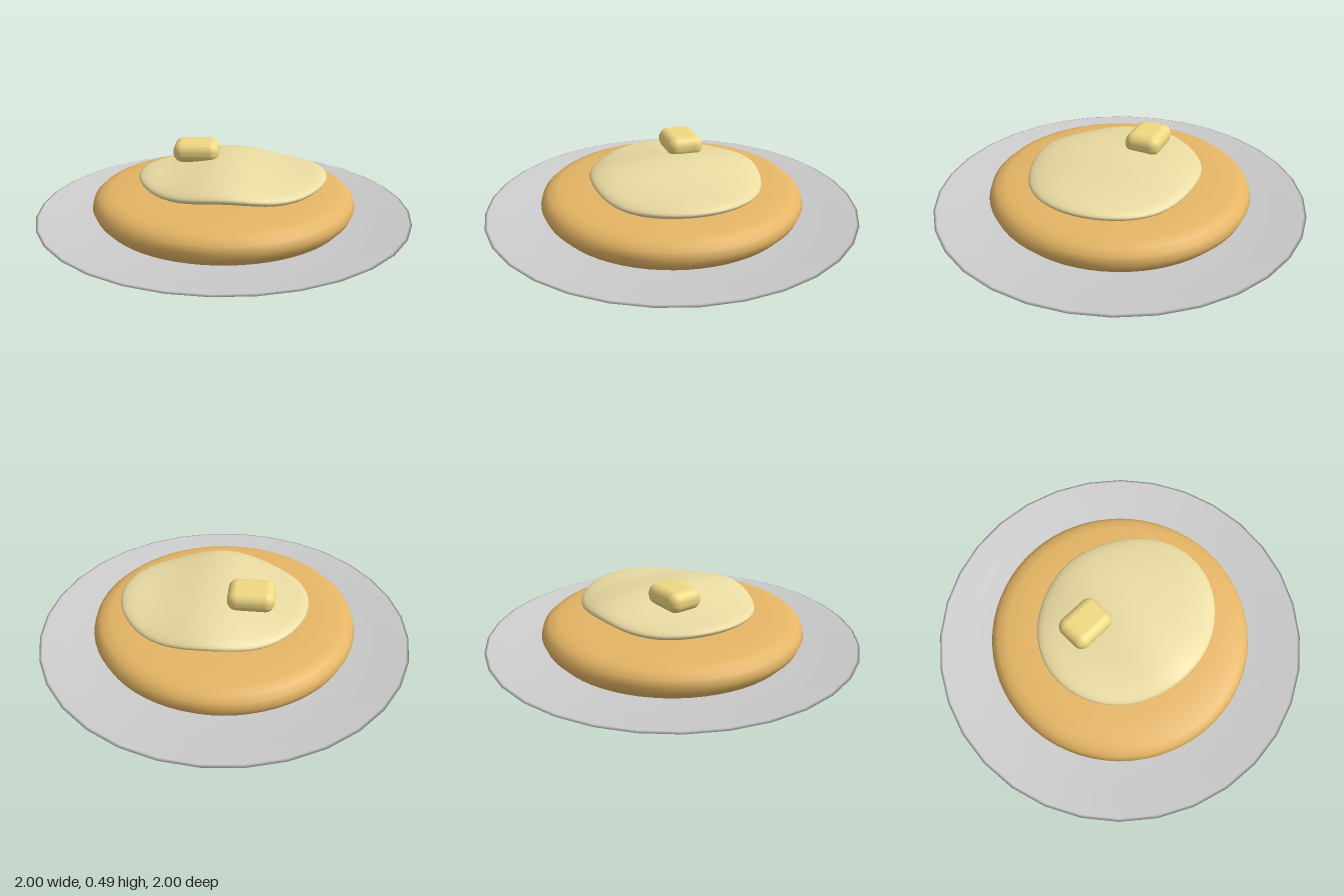
import * as THREE from 'three';
import { RoundedBoxGeometry } from 'three/addons/geometries/RoundedBoxGeometry.js';

const mat = (color) => new THREE.MeshStandardMaterial({ color });

function addPart(group, name, geometry, color) {
  const mesh = new THREE.Mesh(geometry, mat(color));
  mesh.name = name;
  group.add(mesh);
  return mesh;
}

const lathe = (points, segments) =>
  new THREE.LatheGeometry(points.map(([r, y]) => new THREE.Vector2(r, y)), segments);

export function createModel() {
  const group = new THREE.Group();
  group.name = 'pancakePlate';

  // Shallow plate: underside, thin rim, gently concave top
  const plate = [
    [0, 0], [0.45, 0.004], [0.66, 0.025], [0.84, 0.065], [0.97, 0.118], [1, 0.132],
    [0.985, 0.137], [0.84, 0.108], [0.66, 0.086], [0.4, 0.07], [0, 0.065],
  ];
  addPart(group, 'plate', lathe(plate, 32), 0xcccccc);

  // Thick round pancake with a rounded edge
  const pancake = [
    [0, 0.08], [0.6, 0.085], [0.65, 0.103], [0.685, 0.14], [0.702, 0.18],
    [0.69, 0.218], [0.66, 0.245], [0.61, 0.262], [0.5, 0.272], [0.3, 0.277], [0, 0.278],
  ];
  addPart(group, 'pancake', lathe(pancake, 64), 0xe5b565);

  // Spread topping: a flattened sphere that ripples along x
  const topping = new THREE.SphereGeometry(1, 64, 32);
  topping.scale(0.5, 0.07, 0.447);
  topping.translate(0.05, 0.325, 0);
  const pos = topping.attributes.position;
  for (let i = 0; i < pos.count; i++) {
    pos.setY(i, pos.getY(i) + 0.013 * Math.cos(10 * (pos.getX(i) - 0.03)));
  }
  // Normals follow the same ripple, which keeps the sphere seam smooth
  const nor = topping.attributes.normal;
  const n = new THREE.Vector3();
  for (let i = 0; i < pos.count; i++) {
    const slope = -0.13 * Math.sin(10 * (pos.getX(i) - 0.03));
    n.fromBufferAttribute(nor, i);
    n.x -= slope * n.y;
    n.normalize();
    nor.setXYZ(i, n.x, n.y, n.z);
  }
  addPart(group, 'topping', topping, 0xeadba2);

  // Pat of butter
  const butter = addPart(group, 'butter', new RoundedBoxGeometry(0.245, 0.11, 0.195, 5, 0.05), 0xefd882);
  butter.position.set(-0.152, 0.43, -0.1);

  return group;
}
